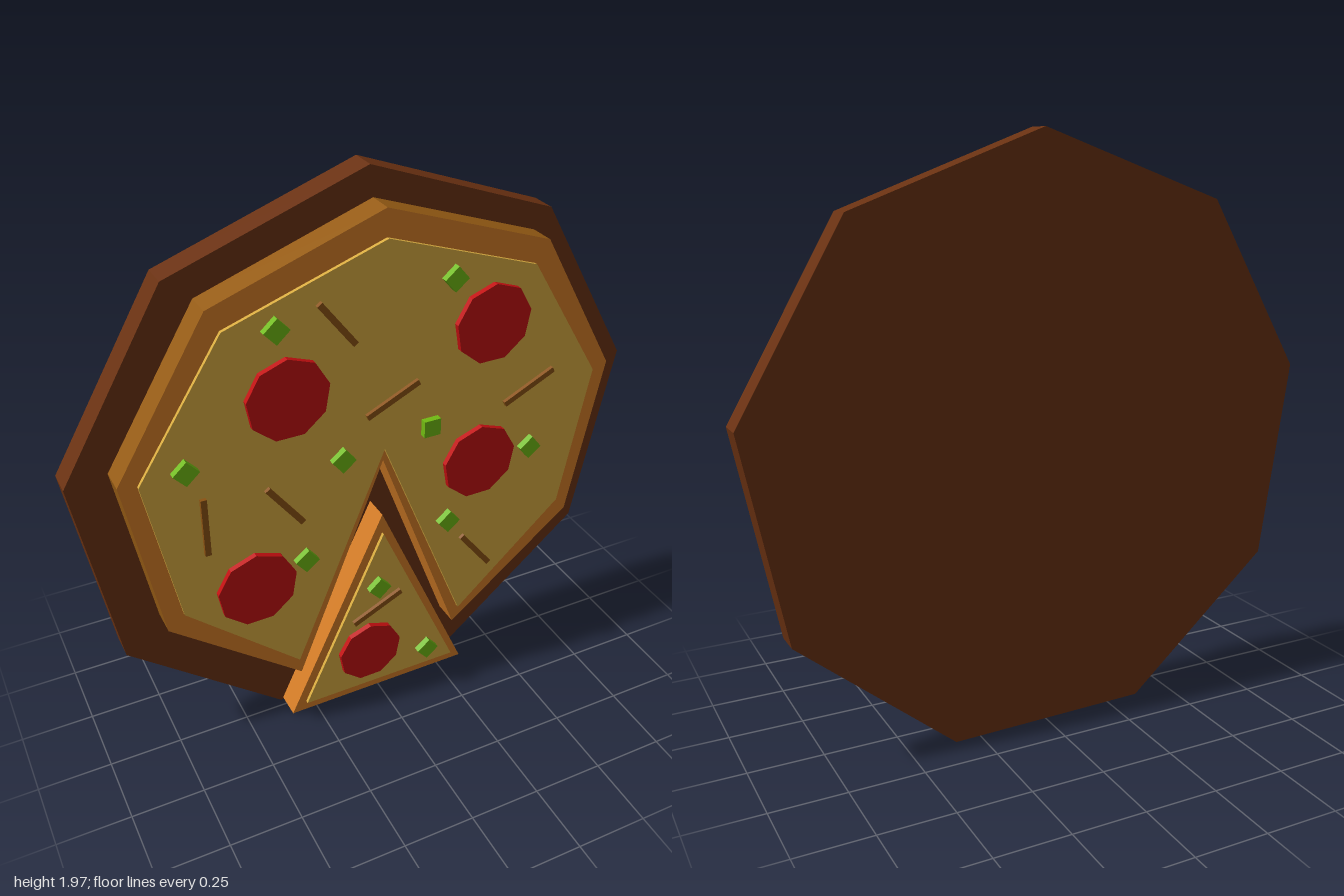
import * as THREE from 'three';

const mat = (name, color) => {
  const m = new THREE.MeshStandardMaterial({ color });
  m.name = name;
  return m;
};

export function createModel() {
  const wood = mat('darkWood', 0x6a3111);
  const dough = mat('dough', 0xd47d27);
  const baked = mat('bakedRim', 0x965c14);
  const cheese = mat('cheese', 0xd9ac40);
  const red = mat('pepperoniRed', 0xc20f10);
  const green = mat('pepperGreen', 0x70ba12);
  const brown = mat('mushroomBrown', 0x8a5212);

  const model = new THREE.Group();
  model.name = 'pizzaOnBoard';

  const add = (name, geometry, material, parent = model) => {
    const mesh = new THREE.Mesh(geometry, material);
    mesh.name = name;
    parent.add(mesh);
    return mesh;
  };

  // Straight prism over a counter-clockwise outline, from z0 to z1
  const prism = (points, z0, z1) => {
    const shape = new THREE.Shape(points.map(([x, y]) => new THREE.Vector2(x, y)));
    return new THREE.ExtrudeGeometry(shape, { depth: z1 - z0, bevelEnabled: false }).translate(0, 0, z0);
  };

  // Prism whose walls are baked rim or cut dough; isRim(i) is asked for the edge ending at point i
  const crustPrism = (points, isRim) => {
    const g = prism(points, 0, 0.09);
    const [caps, walls] = g.groups;
    g.clearGroups();
    g.addGroup(caps.start, caps.count, 0);
    points.forEach((_, k) => {
      const i = points.length - 1 - k;
      g.addGroup(walls.start + k * 6, 6, isRim(i) ? 1 : 0);
    });
    return g;
  };

  // Nine-sided board
  add('board', prism([
    [0.34, 0.005], [0.87, 0.45], [1, 1.13], [0.65, 1.73], [0, 1.97],
    [-0.65, 1.74], [-1, 1.15], [-0.89, 0.46], [-0.36, 0.012],
  ], -0.09, 0), wood);

  // Pizza with a wedge cut out
  add('pizzaCrust', crustPrism([
    [0.305, 0.2], [0.77, 0.57], [0.88, 1.16], [0.59, 1.665], [0.01, 1.87],
    [-0.56, 1.67], [-0.865, 1.17], [-0.765, 0.585], [-0.31, 0.21], [0.005, 1.01],
  ], (i) => i > 0 && i < 9), [dough, baked]);
  add('pizzaCheese', prism([
    [0.32, 0.27], [0.72, 0.63], [0.815, 1.15], [0.54, 1.595], [0.01, 1.78],
    [-0.52, 1.6], [-0.805, 1.16], [-0.71, 0.64], [-0.32, 0.28], [0.005, 1.06],
  ], 0.085, 0.102), cheese);

  // Separate slice
  add('sliceCrust', crustPrism(
    [[-0.35, 0.02], [0.345, 0.012], [0.005, 0.79]], (i) => i === 1), [dough, baked]);
  add('sliceCheese', prism([[-0.297, 0.058], [0.3, 0.05], [0.005, 0.716]], 0.085, 0.102), cheese);

  // Pepperoni: x, y, radius
  [
    [-0.33, 1.34, 0.138], [0.383, 1.43, 0.138], [0.362, 0.915, 0.138],
    [-0.463, 0.665, 0.138], [-0.052, 0.22, 0.12],
  ].forEach(([x, y, r]) => {
    const disc = new THREE.CylinderGeometry(r, r, 0.03, 9).toNonIndexed();
    disc.computeVertexNormals();
    disc.rotateX(Math.PI / 2).rotateZ(Math.PI / 2 * 2);
    add('pepperoni', disc, red).position.set(x, y, 0.106);
  });

  // Pepper cubes: x, y, turn in degrees
  [
    [-0.36, 1.575, 42], [0.235, 1.615, 40], [-0.665, 1.18, 42], [-0.15, 1.07, 38],
    [0.168, 1.105, 0], [0.565, 0.915, 38], [0.25, 0.7, 40], [-0.287, 0.72, 38],
    [-0.017, 0.5, 42], [0.185, 0.135, 40],
  ].forEach(([x, y, turn]) => {
    const cube = add('pepperPiece', new THREE.BoxGeometry(0.06, 0.06, 0.04), green);
    cube.position.set(x, y, 0.105);
    cube.rotation.z = THREE.MathUtils.degToRad(turn);
  });

  // Mushroom strips: from x, y to x, y
  [
    [-0.22, 1.625, -0.103, 1.47], [-0.063, 1.2, 0.12, 1.285], [0.453, 1.112, 0.638, 1.2],
    [-0.617, 1.065, -0.617, 0.855], [-0.41, 1.035, -0.293, 0.875],
    [0.313, 0.605, 0.432, 0.45], [-0.112, 0.365, 0.072, 0.45],
  ].forEach(([x0, y0, x1, y1]) => {
    const strip = add('mushroomStrip',
      new THREE.BoxGeometry(Math.hypot(x1 - x0, y1 - y0), 0.02, 0.03), brown);
    strip.position.set((x0 + x1) / 2, (y0 + y1) / 2, 0.1);
    strip.rotation.z = Math.atan2(y1 - y0, x1 - x0);
  });

  // The whole pizza leans very slightly
  model.rotation.set(0.01, 0.0175, 0);
  model.position.z = -0.026;
  const root = new THREE.Group();
  root.name = 'pizza';
  root.add(model);
  return root;
}
